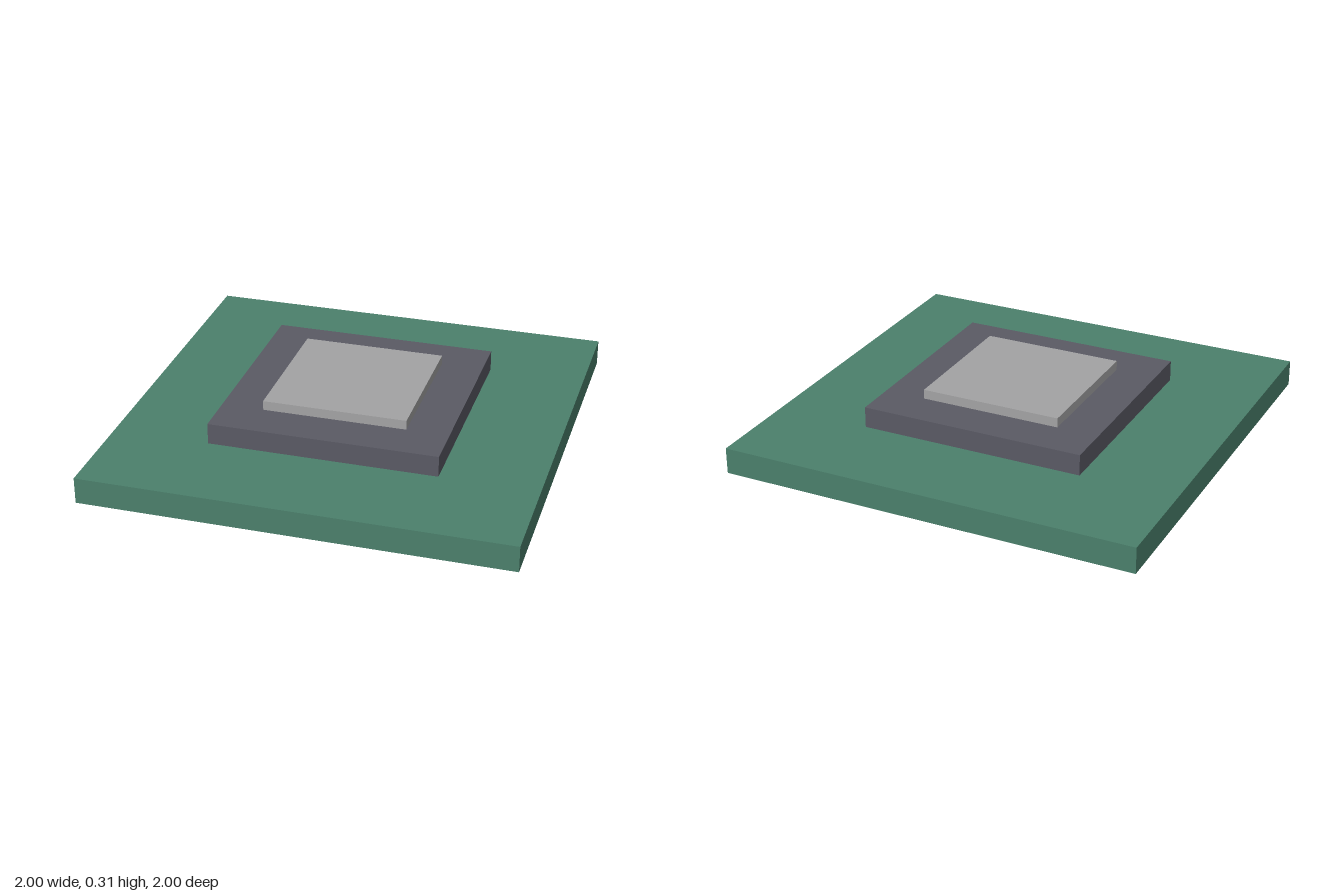
import * as THREE from 'three';

export function createModel() {
  const model = new THREE.Group();
  model.name = 'chipModule';

  const material = (name, color) => {
    const m = new THREE.MeshStandardMaterial({ color });
    m.name = name;
    return m;
  };
  const green = material('boardGreen', 0x4b806c);
  const dark = material('packageGrey', 0x5a5a64);
  const silver = material('lidSilver', 0xa3a3a4);
  const gold = material('contactGold', 0xb39b5c);

  // Square slab of the given width between two heights
  const slab = (name, width, y0, y1, mat, x = 0, z = 0, parent = model) => {
    const mesh = new THREE.Mesh(new THREE.BoxGeometry(width, y1 - y0, width), mat);
    mesh.name = name;
    mesh.position.set(x, (y0 + y1) / 2, z);
    parent.add(mesh);
  };

  // Stacked board, package and lid
  slab('board', 2, 0.04, 0.165, green);
  slab('package', 1.08, 0.165, 0.265, dark);
  slab('lid', 0.68, 0.265, 0.31, silver);

  // Contacts below: a full outer ring, and an inner L along the left and front
  const contacts = new THREE.Group();
  contacts.name = 'contacts';
  model.add(contacts);
  for (let i = -3; i <= 3; i++) {
    for (let j = -3; j <= 3; j++) {
      const outer = Math.max(Math.abs(i), Math.abs(j)) === 3;
      const inner = i === 2 || j === 2;
      if (outer || inner) slab('contact', 0.054, 0, 0.04, gold, i * 0.28, j * 0.28, contacts);
    }
  }
  return model;
}
